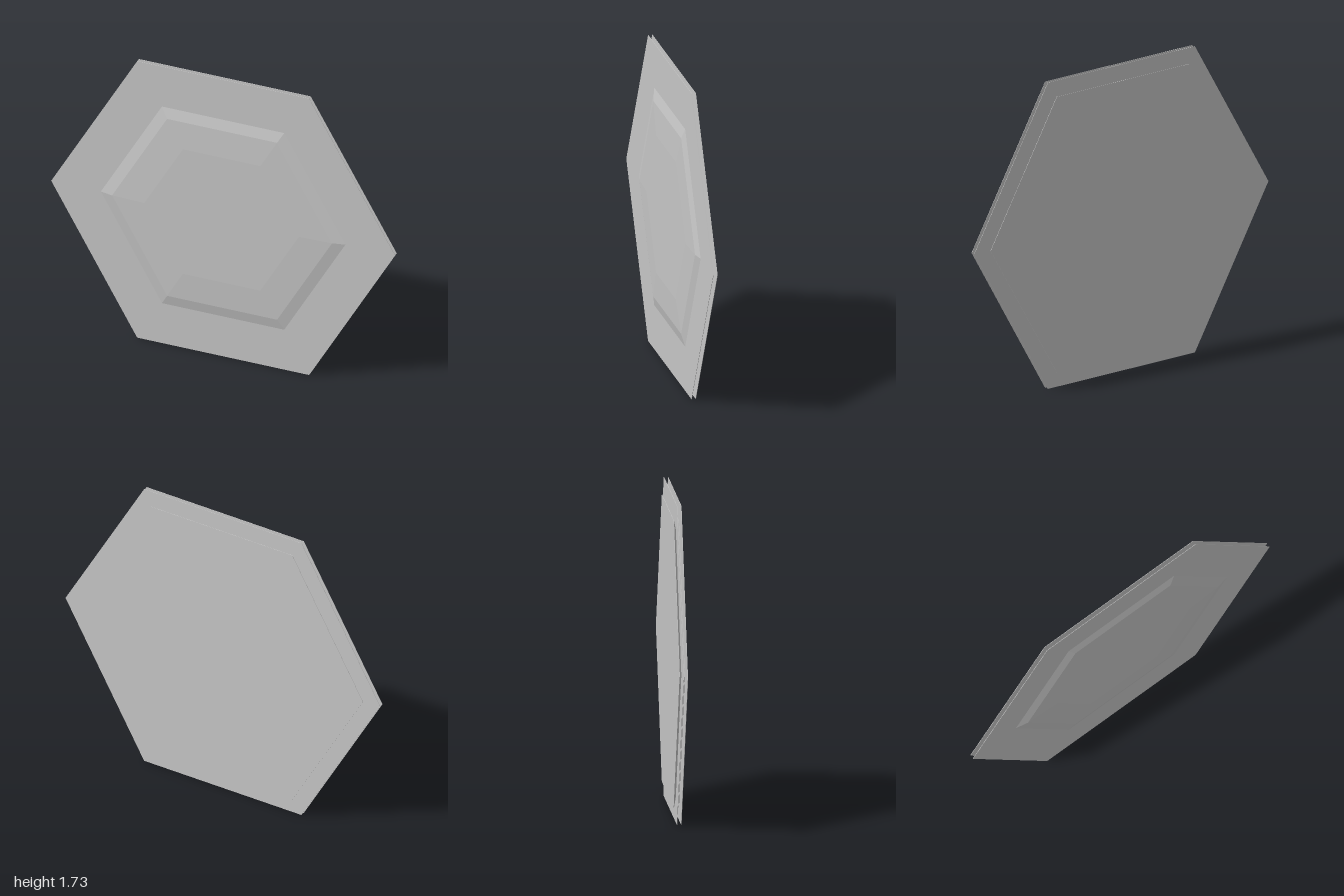
import * as THREE from 'three';

export function createModel() {
  const group = new THREE.Group();
  const grey = new THREE.MeshStandardMaterial({ color: 0xc6c6c6, side: THREE.DoubleSide });
  grey.name = 'lightGrey';

  // Six-sided prism between two rings along z, with corners on the x axis
  const prism = (name, backRadius, backZ, frontRadius, frontZ, open = false) => {
    const geometry = new THREE.CylinderGeometry(
      frontRadius, backRadius, frontZ - backZ, 6, 1, open, Math.PI / 2)
      .rotateX(Math.PI / 2).toNonIndexed();
    geometry.computeVertexNormals();
    const mesh = new THREE.Mesh(geometry, grey);
    mesh.name = name;
    mesh.position.set(0, Math.sqrt(3) / 2, (frontZ + backZ) / 2);
    group.add(mesh);
  };

  // Thin flat sheet centred on z
  const sheet = (name, radius, z) => prism(name, radius, z - 0.001, radius, z + 0.001);

  // Outer sheets with an open gap, and a smaller sheet between them
  sheet('frontSheet', 1, 0.008);
  sheet('middleSheet', 0.9, -0.002);
  sheet('backSheet', 1, -0.015);

  // Raised core: flat back, steep bevel, shallow shoulder, flat front
  sheet('coreBack', 0.9, -0.029);
  prism('coreBevel', 0.9, -0.028, 0.64, 0.023, true);
  prism('coreShoulder', 0.64, 0.023, 0.45, 0.03, true);
  sheet('coreFront', 0.45, 0.029);

  return group;
}
